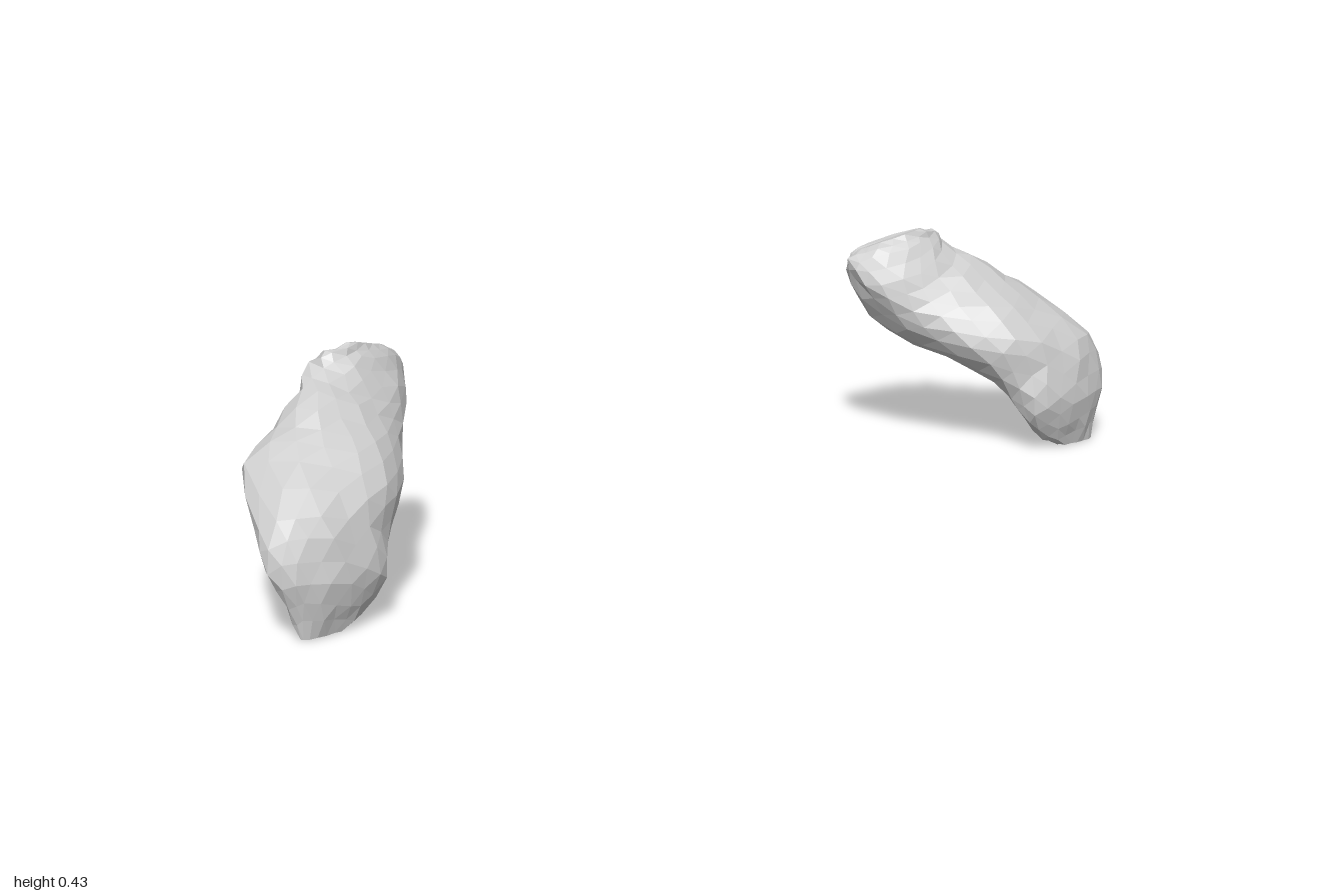
import * as THREE from 'three';

// Cross-sections from the upper end to the lower tip: inner, front, outer and back point of each.
const SECTIONS = [
  [[0.57, 0.393, -0.145], [0.62, 0.415, -0.1], [0.685, 0.428, -0.09], [0.62, 0.41, -0.135]],
  [[0.541, 0.375, -0.142], [0.635, 0.397, -0.072], [0.72, 0.418, -0.1], [0.625, 0.382, -0.16]],
  [[0.55, 0.335, -0.13], [0.64, 0.355, -0.043], [0.75, 0.4, -0.11], [0.645, 0.34, -0.17]],
  [[0.585, 0.27, -0.09], [0.68, 0.32, 0.0], [0.79, 0.37, -0.075], [0.67, 0.28, -0.167]],
  [[0.64, 0.21, -0.03], [0.73, 0.29, 0.06], [0.86, 0.32, -0.05], [0.74, 0.23, -0.122]],
  [[0.71, 0.165, 0.06], [0.79, 0.255, 0.11], [0.935, 0.27, -0.03], [0.82, 0.195, -0.055]],
  [[0.755, 0.11, 0.11], [0.85, 0.2, 0.15], [0.985, 0.19, 0.085], [0.87, 0.15, 0.03]],
  [[0.775, 0.06, 0.135], [0.87, 0.13, 0.17], [0.992, 0.125, 0.12], [0.88, 0.1, 0.075]],
  [[0.815, 0.02, 0.135], [0.89, 0.06, 0.165], [0.965, 0.06, 0.135], [0.895, 0.045, 0.1]],
  [[0.855, 0.003, 0.14], [0.9, 0.002, 0.15], [0.945, 0.002, 0.14], [0.9, 0.0, 0.125]],
];
const RINGS = 18;
const SIDES = 16;

// Lofts the bent body through the sections; side is 1 or -1 for the mirrored twin.
function bodyGeometry(side) {
  let seed = 7;
  const jitter = () => {
    seed = (seed * 16807) % 2147483647;
    return (seed / 2147483647 - 0.5) * 0.007;
  };
  const [inner, front, outer, back] = [0, 1, 2, 3].map((k) =>
    new THREE.CatmullRomCurve3(SECTIONS.map((s) => new THREE.Vector3(...s[k]))));

  const positions = [];
  const push = (v) => positions.push(v.x * side, Math.max(0, v.y), v.z);
  const centres = [];
  for (let i = 0; i <= RINGS; i++) {
    const t = i / RINGS;
    const I = inner.getPoint(t), O = outer.getPoint(t), F = front.getPoint(t), B = back.getPoint(t);
    const c = I.clone().add(O).multiplyScalar(0.5);
    centres.push(F.clone().add(B).add(I).add(O).multiplyScalar(0.25));
    for (let j = 0; j < SIDES; j++) {
      const a = ((j + (i % 2) * 0.5) / SIDES) * Math.PI * 2;
      const p = c.clone()
        .addScaledVector(O.clone().sub(c), Math.cos(a))
        .addScaledVector((Math.sin(a) > 0 ? F : B).clone().sub(c), Math.abs(Math.sin(a)));
      const edge = i === 0 || i === RINGS ? 0.3 : 1;
      p.x += jitter() * edge;
      p.y += jitter() * edge;
      p.z += jitter() * edge;
      push(p);
    }
  }
  // End caps
  push(centres[0]);
  push(centres[RINGS]);
  const top = (RINGS + 1) * SIDES;

  const index = [];
  const face = (a, b, c) => index.push(...(side > 0 ? [a, b, c] : [a, c, b]));
  for (let j = 0; j < SIDES; j++) {
    const k = (j + 1) % SIDES;
    for (let i = 0; i < RINGS; i++) {
      const a = i * SIDES + j, b = i * SIDES + k, c = a + SIDES, d = b + SIDES;
      // The diagonal follows the half-step twist of alternate rings
      if (i % 2 === 0) {
        face(a, b, c);
        face(b, d, c);
      } else {
        face(a, d, c);
        face(a, b, d);
      }
    }
    face(top, k, j);
    face(top + 1, RINGS * SIDES + j, RINGS * SIDES + k);
  }
  const geometry = new THREE.BufferGeometry();
  geometry.setAttribute('position', new THREE.Float32BufferAttribute(positions, 3));
  geometry.setIndex(index);
  geometry.computeVertexNormals();
  return geometry;
}

export function createModel() {
  const model = new THREE.Group();
  model.name = 'curvedLobePair';
  const material = new THREE.MeshStandardMaterial({ color: 0xcccccc, flatShading: true });
  for (const [name, side] of [['leftLobe', 1], ['rightLobe', -1]]) {
    const mesh = new THREE.Mesh(bodyGeometry(side), material);
    mesh.name = name;
    model.add(mesh);
  }
  return model;
}
